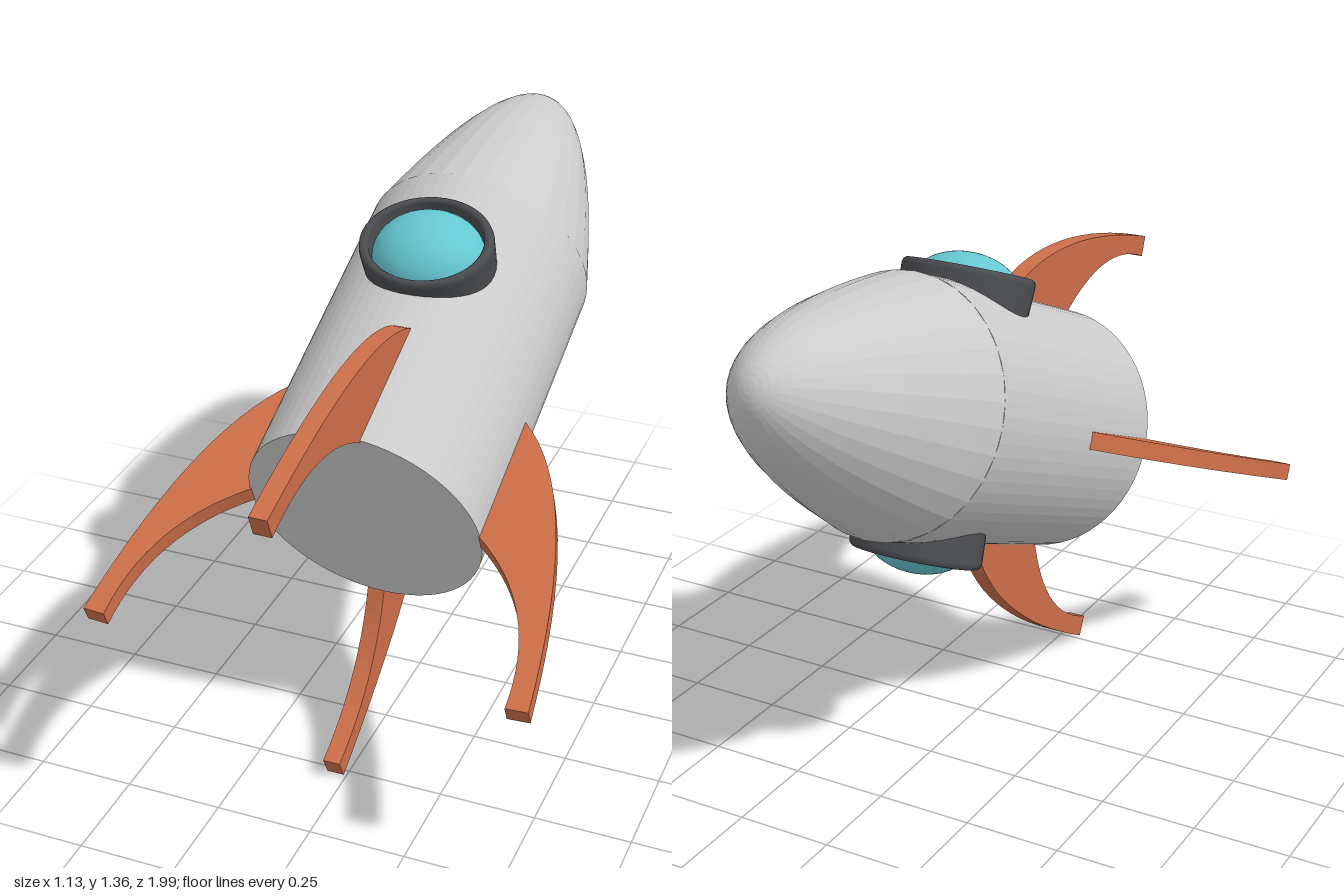
import * as THREE from 'three';

const RX = 0.303, RZ = 0.323;      // slightly oval hull
const BODY = 0.868, NOSE = 0.605;  // lengths along the hull axis

const paint = (color, extra = {}) => new THREE.MeshStandardMaterial({ color, ...extra });

function addMesh(parent, name, geometry, material) {
  const mesh = new THREE.Mesh(geometry, material);
  mesh.name = name;
  parent.add(mesh);
  return mesh;
}

// Swept fin outline: x runs outward from the hull axis, y along it
function finGeometry() {
  const s = new THREE.Shape();
  s.moveTo(0.27, 0.02);
  s.lineTo(0.28, 0.385);
  s.lineTo(0.31, 0.36);
  s.quadraticCurveTo(0.5285, 0.18, 0.585, -0.432);
  s.lineTo(0.527, -0.435);
  s.quadraticCurveTo(0.53, -0.16, 0.31, 0);
  s.closePath();
  const depth = 0.045;
  return new THREE.ExtrudeGeometry(s, { depth, bevelEnabled: false, curveSegments: 16 })
    .translate(0, 0, -depth / 2);
}

// Porthole: dark collar with a domed pane, facing local +y
function createPorthole(name, collarMat, glassMat) {
  const porthole = new THREE.Group();
  porthole.name = name;
  const profile = [
    [0.165, 0.2], [0.172, 0.345], [0.17, 0.356], [0.163, 0.362],
    [0.153, 0.361], [0.147, 0.354], [0.143, 0.3],
  ].map(([r, y]) => new THREE.Vector2(r, y));
  addMesh(porthole, 'windowCollar', new THREE.LatheGeometry(profile, 48), collarMat);
  const dome = new THREE.SphereGeometry(0.145, 40, 12, 0, Math.PI * 2, 0, Math.PI / 2);
  dome.scale(1, 0.1 / 0.145, 1).translate(0, 0.303, 0);
  addMesh(porthole, 'windowGlass', dome, glassMat);
  return porthole;
}

export function createModel() {
  const model = new THREE.Group();
  model.name = 'rocket';
  const rocket = new THREE.Group();
  rocket.name = 'tiltedRocket';
  model.add(rocket);

  const hullMat = paint(0xcccccc, { flatShading: true });
  const finMat = paint(0xcc6e48);
  const collarMat = paint(0x4a4c4f, { side: THREE.DoubleSide });
  const glassMat = paint(0x66c8d2);

  // Hull
  const body = new THREE.CylinderGeometry(1, 1, BODY, 64);
  body.translate(0, BODY / 2, 0).scale(RX, 1, RZ);
  addMesh(rocket, 'body', body, hullMat);

  // Parabolic nose cone
  const nosePoints = [];
  for (let i = 0; i <= 20; i++) {
    const r = 1 - i / 20;
    nosePoints.push(new THREE.Vector2(r, BODY + NOSE * (1 - r * r)));
  }
  const nose = new THREE.LatheGeometry(nosePoints, 32).scale(RX, 1, RZ);
  addMesh(rocket, 'noseCone', nose, hullMat);

  // Four fins: name, turn about the axis, outward scale, x offset, axial offset
  const fin = finGeometry();
  const fins = [
    ['leftFin', 0, 0.965, 0, 0],
    ['rightFin', Math.PI, 0.965, 0, 0],
    ['upperFin', -Math.PI / 2, 1, 0.022, 0],
    ['lowerFin', Math.PI / 2, 1, -0.03, 0.03],
  ];
  for (const [name, turn, reach, x, y] of fins) {
    const mesh = addMesh(rocket, name, fin, finMat);
    mesh.rotation.y = turn;
    mesh.scale.x = reach;
    mesh.position.set(x, y, 0);
  }

  // Portholes above and below
  for (const [name, side] of [['upperPorthole', 1], ['lowerPorthole', -1]]) {
    const porthole = createPorthole(name, collarMat, glassMat);
    porthole.rotation.x = side * Math.PI / 2;
    porthole.scale.z = 0.88;
    porthole.position.y = 0.6;
    rocket.add(porthole);
  }

  // Climbing pose, nose toward the back
  rocket.rotation.x = -1.172;
  rocket.position.set(0, 0.693, 0.375);
  return model;
}
